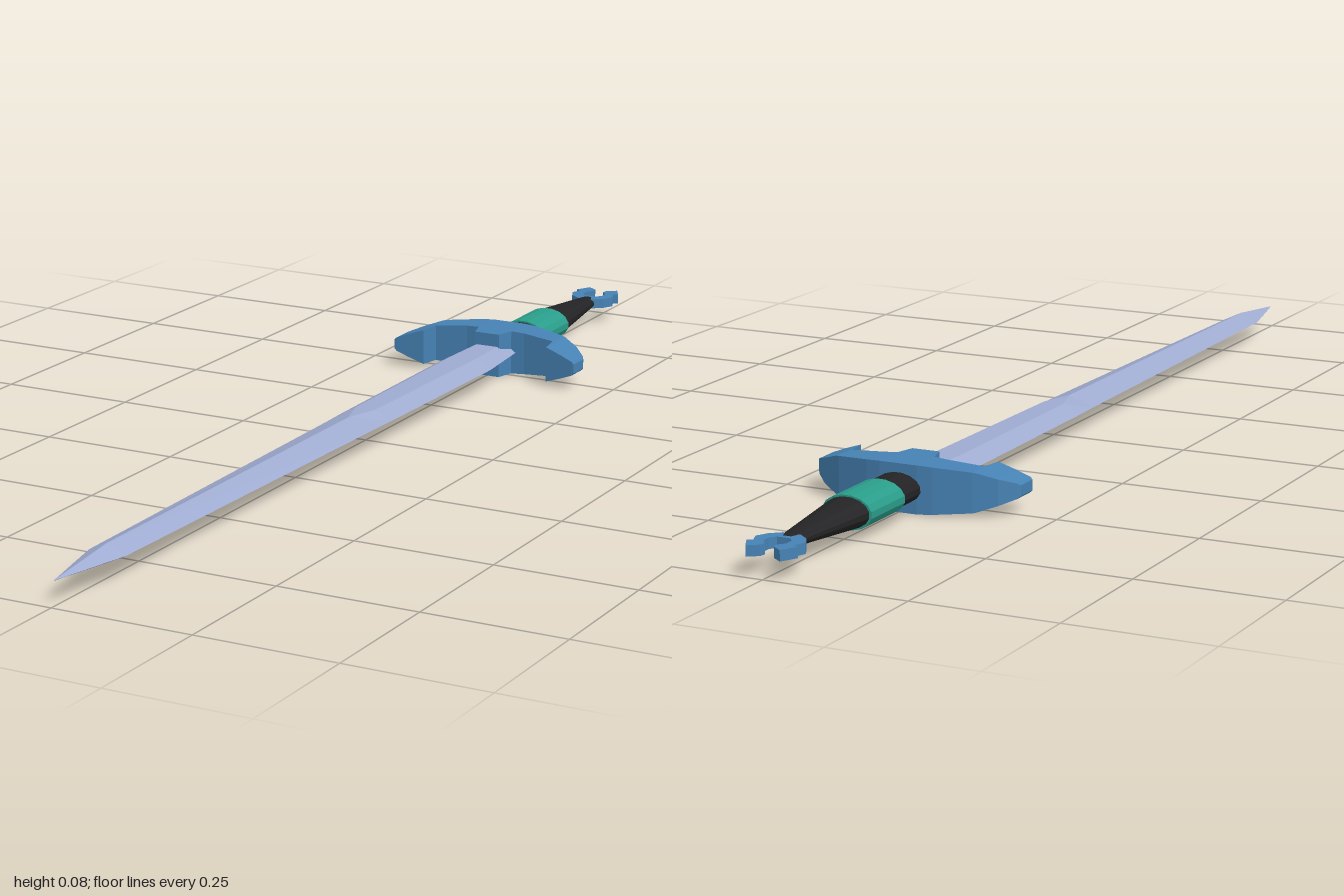
import * as THREE from 'three';

const MID = 0.042; // height of the sword's centre plane

const mat = (name, color) => {
  const m = new THREE.MeshStandardMaterial({ color, flatShading: true });
  m.name = name;
  return m;
};

// Joins cross-sections { z, pts } (counterclockwise seen from +z) in order of rising z.
function loft(sections) {
  const pos = [];
  const n = sections[0].pts.length;
  const put = (s, j) => pos.push(...s.pts[j % n], s.z);
  for (let i = 0; i < sections.length - 1; i++) {
    const a = sections[i], b = sections[i + 1];
    for (let j = 0; j < n; j++) {
      put(a, j); put(a, j + 1); put(b, j + 1);
      put(a, j); put(b, j + 1); put(b, j);
    }
  }
  const first = sections[0], last = sections[sections.length - 1];
  for (let j = 1; j < n - 1; j++) {
    put(first, 0); put(first, j + 1); put(first, j);
    put(last, 0); put(last, j); put(last, j + 1);
  }
  const g = new THREE.BufferGeometry();
  g.setAttribute('position', new THREE.Float32BufferAttribute(pos, 3));
  g.computeVertexNormals();
  return g;
}

// Blade section: sharp edges at the sides, a flat of half width f above and below
const bladeSection = (z, w, f, h) => ({
  z, pts: [[w, 0], [f, h], [-f, h], [-w, 0], [-f, -h], [f, -h]],
});

// Oval grip section
const oval = (z, rx, ry, n = 16) => ({
  z,
  pts: Array.from({ length: n }, (_, i) => {
    const a = ((i + 0.5) / n) * Math.PI * 2;
    return [rx * Math.cos(a), ry * Math.sin(a)];
  }),
});

export function createModel() {
  const root = new THREE.Group();
  root.name = 'sword';
  const steel = mat('blade steel', 0x9eabd0);
  const blue = mat('blue metal', 0x4682b4);
  const black = mat('black grip', 0x232325);
  const teal = mat('teal wrap', 0x2a9d8a);

  const add = (name, geometry, material) => {
    const mesh = new THREE.Mesh(geometry, material);
    mesh.name = name;
    mesh.position.y = MID;
    root.add(mesh);
  };

  // Blade: wide flat near the guard, running into a ridge, then the point
  add('blade', loft([
    bladeSection(-0.52, 0.042, 0.02, 0.017),
    bladeSection(-0.38, 0.055, 0.024, 0.017),
    bladeSection(0.0, 0.05, 0.019, 0.017),
    bladeSection(0.06, 0.048, 0.001, 0.017),
    bladeSection(0.84, 0.034, 0.001, 0.016),
    bladeSection(0.99, 0.0005, 0.0002, 0.0005),
  ]), steel);

  // Guard: [x, back z, front z, half thickness], mirrored to both sides
  const half = [
    [0.025, -0.572, -0.476, 0.041],
    [0.034, -0.572, -0.51, 0.041],
    [0.06, -0.568, -0.512, 0.0395],
    [0.122, -0.55, -0.505, 0.034],
    [0.128, -0.547, -0.465, 0.033],
    [0.16, -0.53, -0.462, 0.022],
    [0.183, -0.508, -0.46, 0.013],
    [0.187, -0.502, -0.46, 0.009],
  ];
  const stations = [...half.map(([x, ...r]) => [-x, ...r]).reverse(), ...half];
  const guard = loft(stations.map(([x, b, f, h]) => ({
    z: x, pts: [[-b, -h], [-b, h], [-f, h], [-f, -h]],
  })));
  guard.rotateY(Math.PI / 2);
  add('guard', guard, blue);

  // Grip: tapered rear, raised wrap, short collar against the guard
  add('gripRear', loft([oval(-0.925, 0.018, 0.01), oval(-0.74, 0.041, 0.026)]), black);
  add('gripWrap', loft([oval(-0.74, 0.045, 0.029), oval(-0.63, 0.045, 0.029)]), teal);
  add('gripCollar', loft([oval(-0.63, 0.041, 0.026), oval(-0.56, 0.041, 0.026)]), black);

  // Pommel: an angular ring open at the back
  const outer = [[0.012, -0.985], [0.03, -0.998], [0.045, -0.97], [0.036, -0.965],
    [0.044, -0.945], [0.034, -0.925], [0.016, -0.91]];
  const inner = [[0.012, -0.935], [0.02, -0.946], [0.02, -0.962], [0.01, -0.974]];
  const right = outer.map(([x, z]) => new THREE.Vector2(x, z));
  const left = outer.map(([x, z]) => new THREE.Vector2(-x, z)).reverse();
  const hole = [
    ...inner.map(([x, z]) => new THREE.Vector2(-x, z)).reverse(),
    ...inner.map(([x, z]) => new THREE.Vector2(x, z)),
  ];
  const ring = new THREE.ExtrudeGeometry(
    new THREE.Shape([...right, ...left, ...hole]),
    { depth: 0.018, bevelEnabled: false },
  );
  ring.rotateX(Math.PI / 2).translate(0, 0.009, 0);
  add('pommel', ring, blue);

  return root;
}
